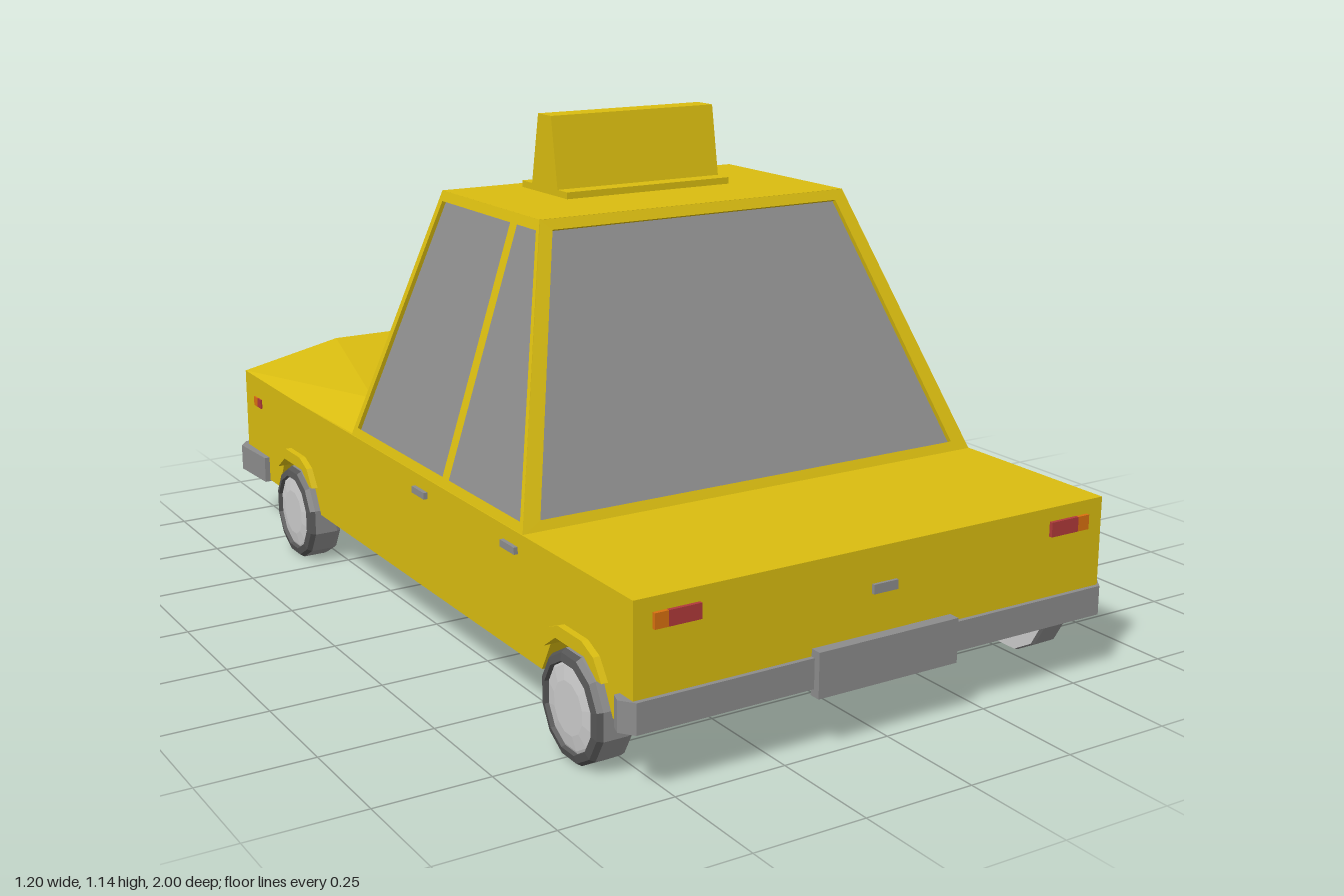
import * as THREE from 'three';
import { ConvexGeometry } from 'three/addons/geometries/ConvexGeometry.js';

const mat = color => new THREE.MeshStandardMaterial({ color, flatShading: true });
const V = (x, y, z) => new THREE.Vector3(x, y, z);
const points = pts => pts.map(p => new THREE.Vector2(p[0], p[1]));
const shapeOf = pts => new THREE.Shape(points(pts));
const extrude = (shape, depth) => new THREE.ExtrudeGeometry(shape, { depth, bevelEnabled: false });
// Mirrors an outline left to right, keeping it continuous
const mirrored = pts => [...pts, ...pts.map(p => [-p[0], p[1]]).reverse()];

export function createModel() {
  const car = new THREE.Group();
  car.name = 'car';
  const yellow = mat(0xd9bc10), glass = mat(0x8e8e8e), metal = mat(0x8c8c8c), light = mat(0xcccccc);
  const dark = mat(0x3a3a3a), rubber = mat(0x555555), red = mat(0xb03a3a), orange = mat(0xd87010);

  const add = (name, geo, material, parent = car) => {
    const m = new THREE.Mesh(geo, material);
    m.name = name;
    parent.add(m);
    return m;
  };
  // Box given by its min and max corners
  const box = (name, a, b, material) => {
    const m = add(name, new THREE.BoxGeometry(b[0] - a[0], b[1] - a[1], b[2] - a[2]), material);
    m.position.set((a[0] + b[0]) / 2, (a[1] + b[1]) / 2, (a[2] + b[2]) / 2);
  };
  // Side profile in (z, y), extruded across from x0 to x1
  const across = (pts, x0, x1) => extrude(shapeOf(pts), x1 - x0)
    .applyMatrix4(new THREE.Matrix4().makeBasis(V(0, 0, 1), V(0, 1, 0), V(-1, 0, 0)).setPosition(x1, 0, 0));

  // Lower body, with the wheel arches running right through
  const wheelZ = [-0.61, 0.77];
  const archAt = z => mirrored([[-0.135, 0.14], [-0.1, 0.205], [-0.055, 0.237]]).map(p => [p[0] + z, p[1]]);
  add('body', across([
    [-0.955, 0.14], ...archAt(wheelZ[0]), ...archAt(wheelZ[1]),
    [0.975, 0.14], [0.975, 0.395], [-0.955, 0.395],
  ], -0.577, 0.577), yellow);

  // Raised bonnet, narrowing towards the nose
  const hood = [];
  for (const s of [-1, 1]) {
    hood.push(V(s * 0.577, 0.39, -0.275), V(s * 0.577, 0.39, -0.955), V(s * 0.577, 0.4, -0.955),
      V(s * 0.49, 0.455, -0.34), V(s * 0.32, 0.455, -0.955));
  }
  add('bonnet', new ConvexGeometry(hood), yellow);

  // Sloping cabin wall: frame with window holes, glass set just behind.
  // Points are (u, y); the wall leans in by k per unit of height above the sill.
  const sill = 0.39;
  const wall = (name, out, dist, k, outline, windows) => {
    const U = V(0, 1, 0).cross(out);
    const S = V(0, 1, 0).addScaledVector(out, -k);
    const N = U.clone().cross(S).normalize();
    const place = depth => new THREE.Matrix4().makeBasis(U, S, N)
      .setPosition(out.clone().multiplyScalar(dist + k * sill).addScaledVector(N, depth));
    const shape = shapeOf(outline);
    windows.forEach(w => shape.holes.push(new THREE.Path(points(w))));
    add(name + 'Frame', extrude(shape, 0.015).applyMatrix4(place(-0.015)), yellow);
    add(name + 'Glass', new THREE.ShapeGeometry(shapeOf(outline)).applyMatrix4(place(-0.011)), glass);
  };
  const endOutline = mirrored([[0.577, sill], [0.39, 0.97]]);
  const endWindow = mirrored([[0.53, 0.415], [0.365, 0.948]]);
  wall('rearWindow', V(0, 0, 1), 0.56, 0.44, endOutline, [endWindow]);
  wall('windscreen', V(0, 0, -1), 0.275, 0.224, endOutline, [endWindow]);
  for (const s of [-1, 1]) {
    const flip = pts => pts.map(p => [-s * p[0], p[1]]);
    wall(s > 0 ? 'leftSide' : 'rightSide', V(s, 0, 0), 0.577, 0.322,
      flip([[0.56, sill], [-0.275, sill], [-0.145, 0.97], [0.305, 0.97]]),
      [flip([[0.537, 0.415], [0.22, 0.415], [0.22, 0.948], [0.302, 0.948]]),
        flip([[0.19, 0.415], [-0.257, 0.415], [-0.138, 0.948], [0.19, 0.948]])]);
  }
  box('roof', [-0.39, 0.95, -0.145], [0.39, 0.97, 0.305], yellow);

  // Roof sign with a dark front panel
  box('signBase', [-0.213, 0.968, -0.095], [0.213, 0.985, 0.11], yellow);
  add('roofSign', across([[-0.05, 0.98], [0.068, 0.98], [0.04, 1.145], [-0.018, 1.145]], -0.213, 0.213), yellow);
  add('signPanel', across([[-0.048, 1.0], [-0.03, 1.0], [-0.01, 1.128], [-0.0225, 1.128]], -0.19, 0.19), dark);

  // Wrap-around bumpers with cut corners; s is the end they sit at
  const bumper = (name, s, end, face) => {
    const half = [[0.574, face - 0.045], [0.574, end], [0.59, end], [0.598, face - 0.03], [0.575, face]];
    const geo = extrude(shapeOf(mirrored(half).map(p => [p[0], s * p[1]])), 0.064);
    geo.applyMatrix4(new THREE.Matrix4().makeBasis(V(1, 0, 0), V(0, 0, 1), V(0, -1, 0)).setPosition(0, 0.2, 0));
    add(name, geo, metal);
  };
  bumper('rearBumper', 1, 0.93, 0.985);
  bumper('frontBumper', -1, 0.81, 0.983);
  box('rearPlate', [-0.173, 0.12, 0.975], [0.173, 0.216, 1.0], metal);
  box('frontPlate', [-0.138, 0.13, -0.995], [0.138, 0.205, -0.96], metal);
  box('bootHandle', [-0.03, 0.3, 0.97], [0.03, 0.32, 0.982], metal);

  // Grille: dark trapezoid with slats
  add('grille', extrude(shapeOf(mirrored([[0.36, 0.235], [0.4, 0.365]])), 0.015).translate(0, 0, -0.957), dark);
  for (let i = 0; i < 6; i++) {
    const y = 0.242 + i * 0.02, w = 0.358 + i * 0.006;
    box('grilleSlat', [-w, y, -0.961], [w, y + 0.009, -0.95], dark);
  }

  // Parts mirrored left and right
  for (const s of [-1, 1]) {
    const side = (name, x0, x1, y0, y1, z0, z1, m) =>
      box(name, [Math.min(s * x0, s * x1), y0, z0], [Math.max(s * x0, s * x1), y1, z1], m);
    side('overrider', 0.368, 0.405, 0.125, 0.212, -1.0, -0.96, metal);
    side('headlightSurround', 0.44, 0.568, 0.27, 0.355, -0.958, -0.94, metal);
    side('headlight', 0.448, 0.56, 0.315, 0.348, -0.961, -0.94, light);
    side('headlightLower', 0.448, 0.56, 0.277, 0.306, -0.961, -0.94, light);
    side('tailLight', 0.432, 0.505, 0.333, 0.365, 0.965, 0.983, red);
    side('rearIndicator', 0.505, 0.535, 0.333, 0.365, 0.965, 0.983, orange);
    side('sideMarker', 0.57, 0.581, 0.322, 0.345, -0.868, -0.845, red);
    side('sideIndicator', 0.57, 0.581, 0.322, 0.345, -0.892, -0.868, orange);
    for (const z of [0.1, 0.51]) side('doorHandle', 0.57, 0.586, 0.35, 0.365, z - 0.03, z + 0.03, metal);

    for (const z of wheelZ) {
      // Arch flare over the top of the wheel
      const rim = mirrored([[0.118, 0.205], [0.088, 0.247], [0.045, 0.265]]).map(p => [p[0] + z, p[1]]);
      const flare = [...archAt(z).slice(1, 5), ...rim];
      add('archFlare', across(flare, s > 0 ? 0.57 : -0.592, s > 0 ? 0.592 : -0.57), yellow);

      // Twelve-sided wheel: grey tread, dark outer ring, shallow hub
      const wheel = new THREE.Group();
      wheel.name = 'wheel';
      const lathe = pts => new THREE.LatheGeometry(points(pts), 12, Math.PI / 12);
      add('tread', lathe([[0.112, -0.04], [0.115, -0.03], [0.115, 0.025]]), metal, wheel);
      add('tyreRing', lathe([[0.115, 0.025], [0.108, 0.036], [0.092, 0.04], [0.09, 0.03]]), rubber, wheel);
      add('hub', lathe([[0.092, 0.03], [0.085, 0.033], [0.055, 0.038], [0, 0.038]]), light, wheel);
      add('innerDisc', lathe([[0, -0.04], [0.112, -0.04]]), light, wheel);
      wheel.position.set(s * 0.558, 0.113, z);
      wheel.rotation.z = -s * Math.PI / 2;
      car.add(wheel);
    }
  }
  return car;
}
